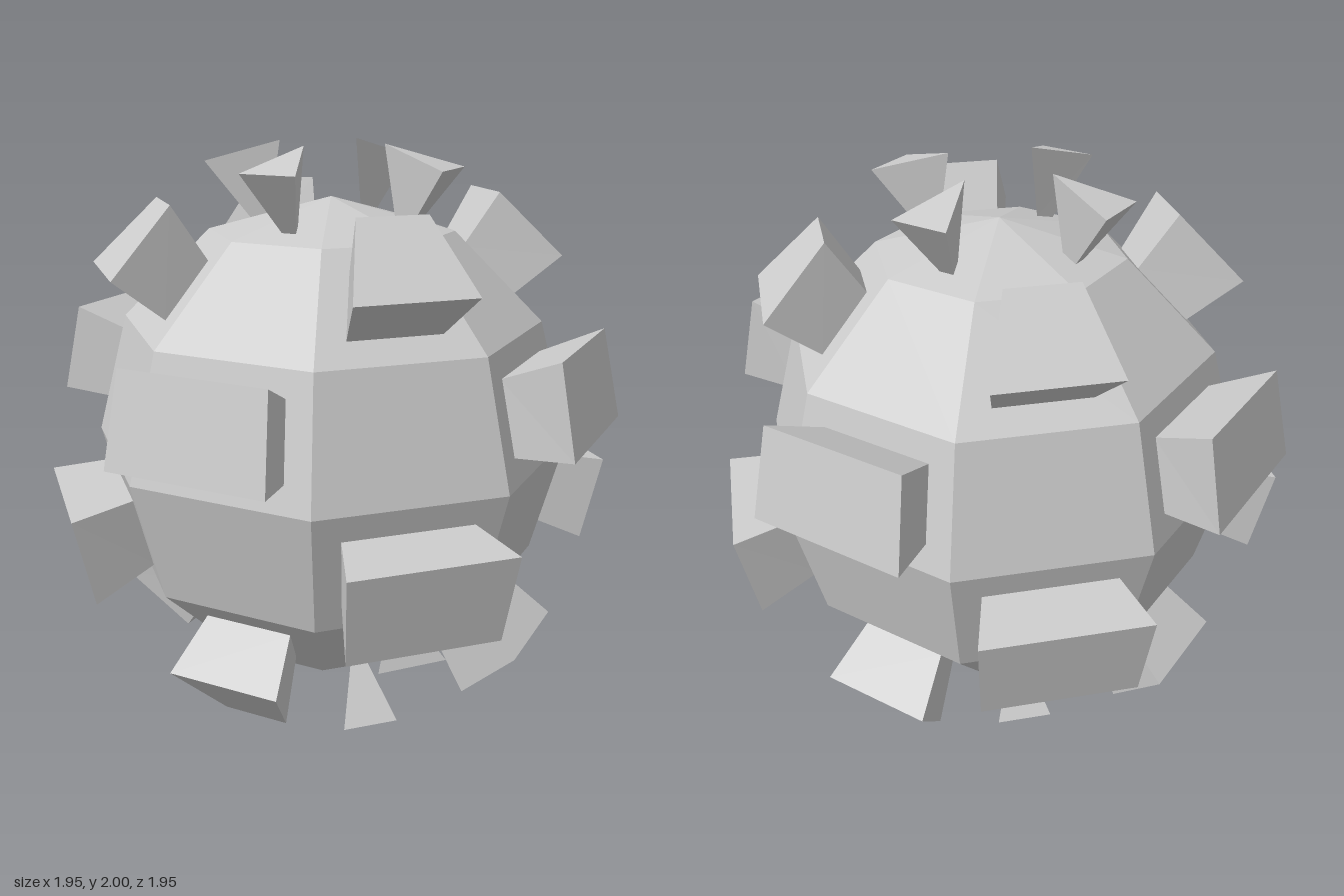
import * as THREE from 'three';

const RADIUS = 0.825;

// Each edge is [half width, height, distance from the vertical axis],
// measured from the ball's centre. Half width 0 gives a triangular stud.
const STUDS = [
  { // small spike around the pole, flaring outward
    name: 'poleSpike',
    base: [[0.025, 0.739, 0.295], [0, 0.757, 0.234]],
    cap: [[0.0965, 0.93, 0.43], [0, 1.0, 0.192]],
  },
  { // block on the sloping band
    name: 'slopeBlock',
    base: [[0.154, 0.479, 0.599], [0.09, 0.648, 0.442]],
    cap: [[0.194, 0.617, 0.768], [0.114, 0.83, 0.562]],
  },
  { // block on the band beside the equator
    name: 'equatorBlock',
    base: [[0.216, 0.087, 0.739], [0.192, 0.326, 0.675]],
    cap: [[0.27, 0.117, 0.943], [0.25, 0.416, 0.88]],
  },
];

// Corners of a face, counter-clockwise seen from outside
function corners([[w0, y0, z0], [w1, y1, z1]]) {
  const pts = [[-w0, y0, z0], [w0, y0, z0], [w1, y1, z1]];
  if (w1 > 0) pts.push([-w1, y1, z1]);
  return pts;
}

// Side walls from base to cap, closed by the cap
function studGeometry({ base, cap }) {
  const b = corners(base), c = corners(cap), n = b.length, pos = [];
  const tri = (...pts) => pts.forEach((p) => pos.push(...p));
  for (let i = 0; i < n; i++) {
    const j = (i + 1) % n;
    tri(b[i], b[j], c[j]);
    tri(b[i], c[j], c[i]);
  }
  for (let i = 1; i < n - 1; i++) tri(c[0], c[i], c[i + 1]);
  const geo = new THREE.BufferGeometry();
  geo.setAttribute('position', new THREE.Float32BufferAttribute(pos, 3));
  geo.computeVertexNormals();
  return geo;
}

export function createModel() {
  const model = new THREE.Group();
  model.name = 'studdedBall';
  const material = new THREE.MeshStandardMaterial({ color: 0xcccccc, flatShading: true });

  // Faceted ball
  const ball = new THREE.Mesh(new THREE.SphereGeometry(RADIUS, 8, 6), material);
  ball.name = 'ball';
  ball.position.y = 1;
  model.add(ball);

  // Studs on every other facet, in a checkerboard over the six bands
  const studs = new THREE.Group();
  studs.name = 'studs';
  studs.position.y = 1;
  model.add(studs);
  for (let row = 0; row < 6; row++) {
    const lower = row > 2;
    const stud = STUDS[lower ? 5 - row : row];
    const geo = studGeometry(stud);
    if (lower) geo.rotateZ(Math.PI);
    for (let k = 0; k < 4; k++) {
      const mesh = new THREE.Mesh(geo, material);
      mesh.name = stud.name;
      mesh.rotation.y = (row % 2 ? 1 : -1) * Math.PI / 8 + k * Math.PI / 2;
      studs.add(mesh);
    }
  }
  return model;
}
